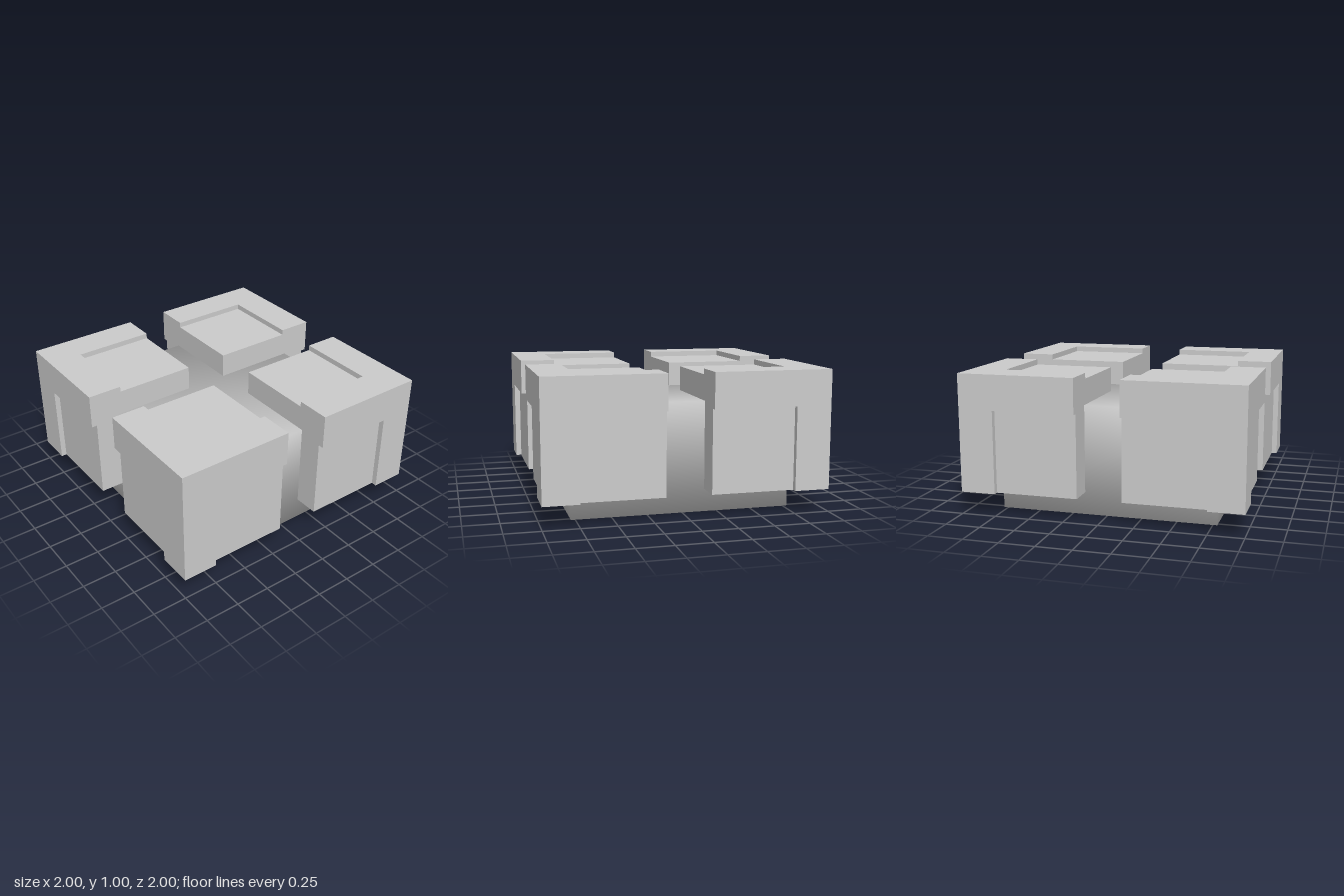
import * as THREE from 'three';

const INNER = 0.16;  // faces towards the gaps
const PANEL = 0.96;  // recessed panel level
const STEP = 0.75;   // where the raised border begins
const OUTER = 1;     // outer faces
const CORE = 0.78;   // half width and height of the core

const material = new THREE.MeshStandardMaterial({ color: 0xcccccc });

// Box between two corners, mirrored in x and z by the signs
function boxBetween(name, a, b, sx = 1, sz = 1) {
  const geometry = new THREE.BoxGeometry(b[0] - a[0], b[1] - a[1], b[2] - a[2]);
  const mesh = new THREE.Mesh(geometry, material);
  mesh.position.set(sx * (a[0] + b[0]) / 2, (a[1] + b[1]) / 2, sz * (a[2] + b[2]) / 2);
  mesh.name = name;
  return mesh;
}

// Corner block: a cube with a raised border along its three outer edges
function cornerBlock(sx, sz) {
  const block = new THREE.Group();
  block.add(boxBetween('blockBody', [INNER, INNER, INNER], [PANEL, PANEL, PANEL], sx, sz));
  ['borderAlongX', 'borderAlongY', 'borderAlongZ'].forEach((name, axis) => {
    const from = [STEP, STEP, STEP];
    const to = [OUTER, OUTER, OUTER];
    from[axis] = INNER;
    if (axis > 0) to[axis] = STEP; // the first bar fills the shared corner
    block.add(boxBetween(name, from, to, sx, sz));
  });
  return block;
}

export function createModel() {
  const model = new THREE.Group();
  model.name = 'blockCluster';

  // Core with soft shading: normals point out through the corners
  const core = boxBetween('core', [-CORE, 0, -CORE], [CORE, CORE, CORE]);
  const { position, normal } = core.geometry.attributes;
  for (let i = 0; i < position.count; i++) {
    const n = new THREE.Vector3(
      Math.sign(position.getX(i)), Math.sign(position.getY(i)), Math.sign(position.getZ(i))
    ).normalize();
    normal.setXYZ(i, n.x, n.y, n.z);
  }
  model.add(core);

  // Four mirrored corner blocks
  for (const sx of [-1, 1]) {
    for (const sz of [-1, 1]) {
      const block = cornerBlock(sx, sz);
      block.name = (sz > 0 ? 'front' : 'back') + (sx > 0 ? 'Left' : 'Right') + 'Block';
      model.add(block);
    }
  }
  return model;
}
